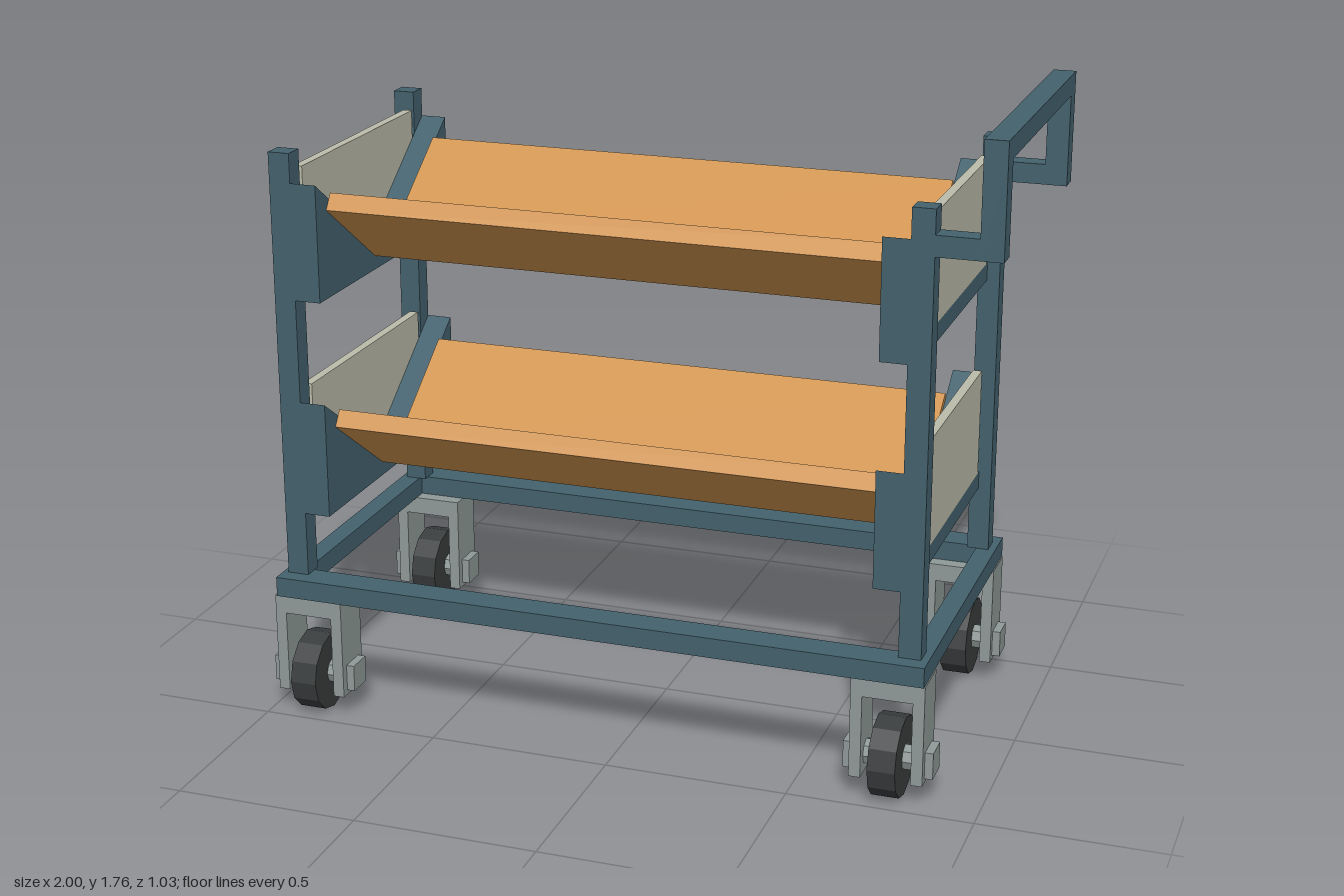
import * as THREE from 'three';

const mat = (color) => new THREE.MeshStandardMaterial({ color, flatShading: true });

export function createModel() {
  const root = new THREE.Group();
  const steel = mat(0x43616d), wood = mat(0xd09450), panel = mat(0xbcbcaa);
  const metal = mat(0x8f9a98), rubber = mat(0x3a3d3e);

  // Box given by its extents on each axis
  function box(parent, name, m, [x0, x1], [y0, y1], [z0, z1]) {
    const mesh = new THREE.Mesh(new THREE.BoxGeometry(x1 - x0, y1 - y0, z1 - z0), m);
    mesh.position.set((x0 + x1) / 2, (y0 + y1) / 2, (z0 + z1) / 2);
    mesh.name = name;
    parent.add(mesh);
    return mesh;
  }
  const span = (s, a, b) => (s > 0 ? [a, b] : [-b, -a]);

  // Base frame
  for (const s of [1, -1]) box(root, 'baseSideRail', steel, [-0.97, 0.85], [0.34, 0.395], span(s, 0.383, 0.468));
  box(root, 'baseEndRail', steel, [-0.97, -0.915], [0.34, 0.395], [-0.383, 0.383]);
  box(root, 'baseEndRail', steel, [0.795, 0.85], [0.34, 0.395], [-0.383, 0.383]);

  // Corner posts
  for (const x of [-0.925, 0.8])
    for (const s of [1, -1]) box(root, 'post', steel, [x - 0.03, x + 0.03], [0.395, 1.58], span(s, 0.365, 0.422));

  // Push handle
  const handle = new THREE.Group();
  handle.name = 'handle';
  root.add(handle);
  for (const s of [1, -1]) {
    box(handle, 'handleArm', steel, [0.83, 0.94], [1.46, 1.515], span(s, 0.365, 0.422));
    box(handle, 'handleUpright', steel, [0.94, 1], [1.46, 1.705], span(s, 0.365, 0.422));
  }
  box(handle, 'handleGrip', steel, [0.94, 1], [1.705, 1.76], [-0.422, 0.422]);

  // End bracket: plate with a V-shaped top, profile drawn in z and y
  const vee = new THREE.Shape([
    [-0.422, 0], [0.422, 0], [0.422, 0.32], [0.036, 0.05], [-0.036, 0.05], [-0.422, 0.32],
  ].map(([z, y]) => new THREE.Vector2(z, y)));
  const bracketGeo = new THREE.ExtrudeGeometry(vee, { depth: 0.072, bevelEnabled: false });
  bracketGeo.rotateY(Math.PI / 2);

  // Two trough shelves, each with sloped boards, brackets and end panels
  const tilt = THREE.MathUtils.degToRad(35);
  for (const y of [0.575, 1.18]) {
    const shelf = new THREE.Group();
    shelf.name = 'shelf';
    shelf.position.y = y;
    root.add(shelf);
    for (const s of [1, -1]) {
      const board = new THREE.Mesh(new THREE.BoxGeometry(1.522, 0.05, 0.35), wood);
      board.name = 'slopedBoard';
      board.position.set(-0.0625, 0.159, s * 0.205);
      board.rotation.x = -s * tilt;
      shelf.add(board);
    }
    for (const x of [-0.895, 0.698]) {
      const bracket = new THREE.Mesh(bracketGeo, steel);
      bracket.name = 'endBracket';
      bracket.position.x = x;
      shelf.add(bracket);
    }
    for (const x of [[-0.92, -0.895], [0.77, 0.795]])
      box(shelf, 'endPanel', panel, x, [0.05, 0.35], [-0.35, 0.35]);
    for (const x of [[-0.92, -0.895], [0.77, 0.795]])
      box(shelf, 'panelLedge', steel, x, [0, 0.05], [-0.365, 0.365]);
  }

  // Casters
  const wheelGeo = new THREE.CylinderGeometry(0.11, 0.11, 0.074, 12).rotateZ(Math.PI / 2);
  const hubGeo = new THREE.CylinderGeometry(0.035, 0.035, 0.14, 8).rotateZ(Math.PI / 2);
  for (const x of [-0.88, 0.755])
    for (const s of [1, -1]) {
      const caster = new THREE.Group();
      caster.name = 'caster';
      caster.position.set(x, 0, s * 0.403);
      root.add(caster);
      box(caster, 'forkTop', metal, [-0.098, 0.098], [0.29, 0.34], [-0.06, 0.06]);
      for (const e of [1, -1]) {
        box(caster, 'forkLeg', metal, span(e, 0.067, 0.098), [0.06, 0.29], [-0.06, 0.06]);
        box(caster, 'axleCap', metal, span(e, 0.098, 0.12), [0.073, 0.147], [-0.037, 0.037]);
      }
      for (const [name, geo, m] of [['wheel', wheelGeo, rubber], ['hub', hubGeo, metal]]) {
        const mesh = new THREE.Mesh(geo, m);
        mesh.name = name;
        mesh.position.y = 0.11;
        caster.add(mesh);
      }
    }
  return root;
}
